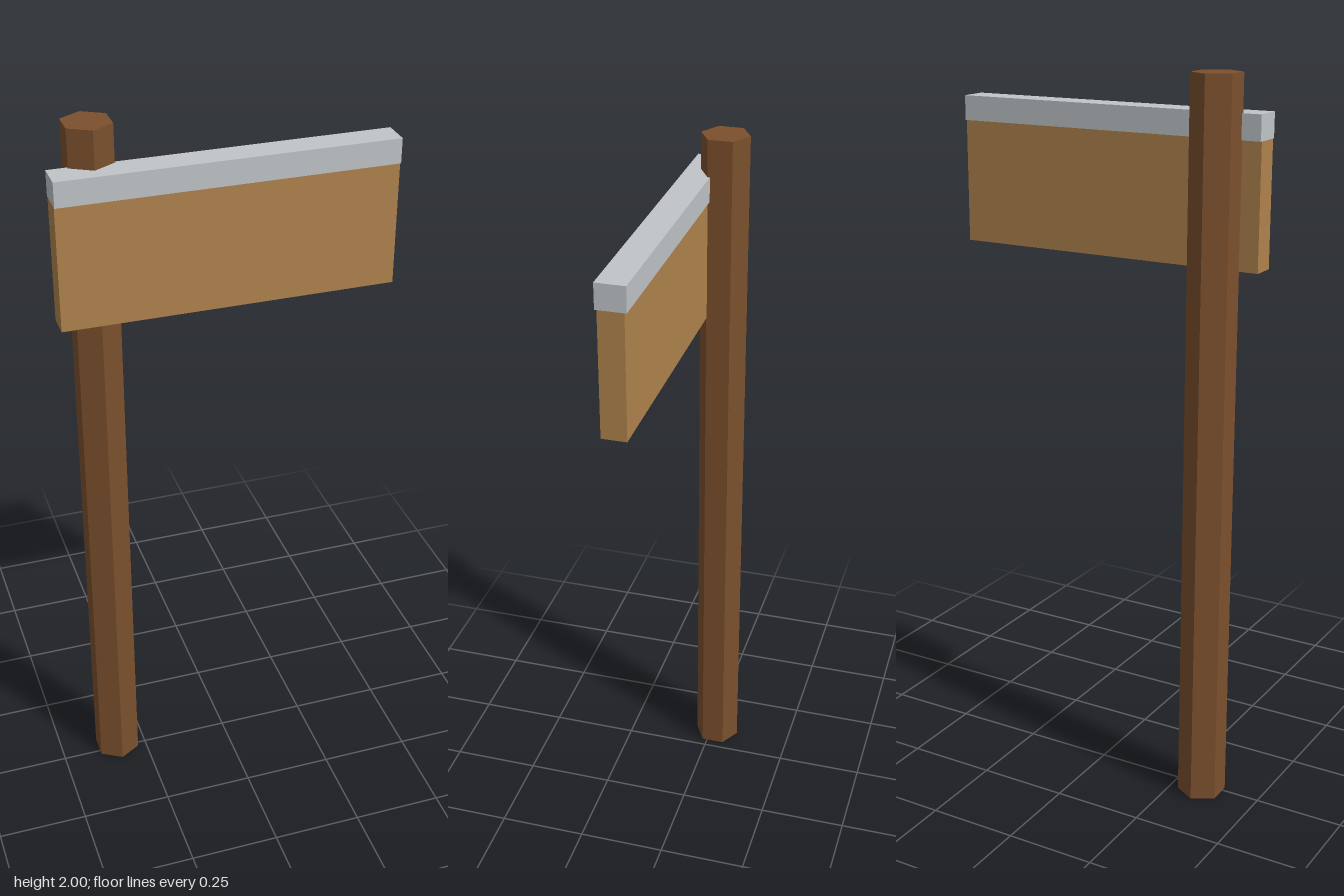
import * as THREE from 'three';

export function createModel() {
  const model = new THREE.Group();
  model.name = 'signpost';

  const material = (name, color) => {
    const m = new THREE.MeshStandardMaterial({ color });
    m.name = name;
    return m;
  };
  const darkWood = material('dark wood', 0x7b502d);
  const lightWood = material('light wood', 0xb0834d);
  const paleGrey = material('pale grey', 0xc0c5c8);
  darkWood.flatShading = true;

  const add = (name, geometry, mat, x, y, z) => {
    const mesh = new THREE.Mesh(geometry, mat);
    mesh.name = name;
    mesh.position.set(x, y, z);
    model.add(mesh);
  };

  // Six-sided post, set off to one side behind the board
  add('post', new THREE.CylinderGeometry(0.0667, 0.0667, 2, 6), darkWood, -0.3333, 1, -0.0189);

  // Sign board with a slightly thicker cap strip along its top
  const width = 0.8889, boardZ = 0.0467;
  add('board', new THREE.BoxGeometry(width, 0.3333, 0.0667), lightWood, 0, 1.6667, boardZ);
  add('capStrip', new THREE.BoxGeometry(width, 0.0667, 0.0778), paleGrey, 0, 1.8667, boardZ);

  return model;
}
